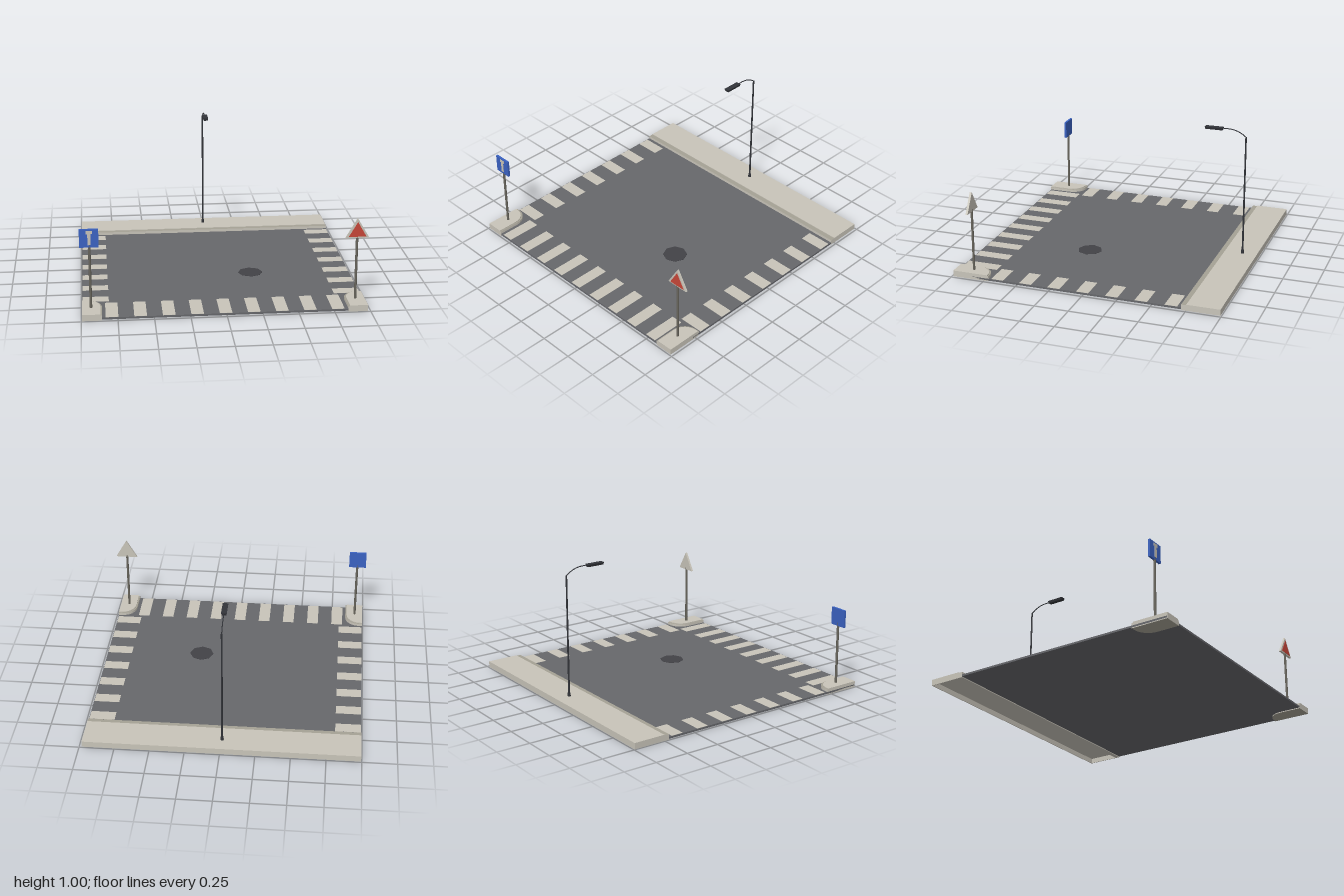
import * as THREE from 'three';

export function createModel() {
  const model = new THREE.Group();
  const mat = (name, color) => {
    const m = new THREE.MeshStandardMaterial({ color });
    m.name = name;
    return m;
  };
  const concrete = mat('concrete', 0xc8c4b9);
  const kerbGrey = mat('kerb grey', 0xa5a194);
  const asphalt = mat('asphalt', 0x66676b);
  const iron = mat('manhole iron', 0x424246);
  const lampMetal = mat('lamp metal', 0x323439);
  const poleMetal = mat('pole metal', 0x69665d);
  const blue = mat('sign blue', 0x3a62c2);
  const red = mat('sign red', 0xc64638);

  const add = (name, geometry, material, x = 0, y = 0, z = 0) => {
    const mesh = new THREE.Mesh(geometry, material);
    mesh.name = name;
    mesh.position.set(x, y, z);
    model.add(mesh);
    return mesh;
  };
  // box given by its limits on each axis
  const box = (name, material, x0, x1, y0, y1, z0, z1) =>
    add(name, new THREE.BoxGeometry(x1 - x0, y1 - y0, z1 - z0), material,
      (x0 + x1) / 2, (y0 + y1) / 2, (z0 + z1) / 2);

  const L = -0.995, R = 0.982, MID = (L + R) / 2;

  // road slab
  box('road', asphalt, L, R, 0.006, 0.02, -0.715, 0.987);

  // crossing stripes along the two sides and the front
  for (let i = 0; i < 7; i++) {
    const z = -0.687 + i * 0.2152;
    box('sideStripe', concrete, L + 0.003, -0.807, 0.018, 0.0215, z, z + 0.091);
    box('sideStripe', concrete, 0.794, R - 0.003, 0.018, 0.0215, z, z + 0.091);
  }
  for (let i = 0; i < 9; i++) {
    const x = -0.834 + i * 0.1958;
    box('frontStripe', concrete, x, x + 0.087, 0.018, 0.0215, 0.724, 0.983);
  }

  // manhole cover
  add('manholeCover', new THREE.CylinderGeometry(0.09, 0.09, 0.004, 8), iron, 0.25, 0.0205, 0.22);

  // pavement, hollow underneath, with a slightly lower kerb
  box('pavementTop', concrete, L, R, 0.037, 0.045, -0.992, -0.751);
  box('pavementBack', concrete, L, R, 0, 0.037, -0.992, -0.986);
  for (const x of [L, R - 0.006])
    box('pavementEnd', concrete, x, x + 0.006, 0, 0.037, -0.986, -0.751);
  const kerbSides = [concrete, concrete, kerbGrey, concrete, concrete, concrete];
  box('kerb', kerbSides, L, R, 0, 0.041, -0.751, -0.715);

  // rounded corner islands: a kerb step with the paving on top
  const island = (name, side, inset, y0, y1, materials) => {
    const outer = side < 0 ? L : R;
    const inner = outer - side * (0.137 - inset);
    const back = 0.716 + inset, front = 0.99, r = 0.11;
    const s = new THREE.Shape();
    s.moveTo(outer, -front);
    s.lineTo(inner, -front);
    s.lineTo(inner, -(back + r));
    s.bezierCurveTo(inner, -(back + r * 0.45), inner + side * r * 0.45, -back, inner + side * r, -back);
    s.lineTo(outer, -back);
    const g = new THREE.ExtrudeGeometry(s, { depth: y1 - y0, bevelEnabled: false, curveSegments: 6 });
    g.rotateX(-Math.PI / 2);
    add(name, g, materials, 0, y0, 0);
  };
  for (const side of [-1, 1]) {
    island('islandKerb', side, 0, 0, 0.039, [kerbGrey, concrete]);
    island('islandPaving', side, 0.01, 0.037, 0.045, concrete);
  }

  // street lamp: foot, post, curved arm and head
  const lx = MID - 0.003, lz = -0.884;
  add('lampFoot', new THREE.CylinderGeometry(0.011, 0.012, 0.025, 8), lampMetal, lx, 0.057, lz);
  add('lampPost', new THREE.CylinderGeometry(0.006, 0.007, 0.9, 8), lampMetal, lx, 0.495, lz);
  const arm = new THREE.CatmullRomCurve3([
    [0.943, lz], [0.967, -0.85], [0.986, -0.805], [0.993, -0.76], [0.993, -0.7],
  ].map(([y, z]) => new THREE.Vector3(lx, y, z)));
  add('lampArm', new THREE.TubeGeometry(arm, 12, 0.0035, 6), lampMetal);
  const headGeo = new THREE.BoxGeometry(0.04, 0.018, 0.134);
  const hp = headGeo.attributes.position;
  for (let i = 0; i < hp.count; i++) // narrower underside
    if (hp.getY(i) < 0) hp.setXYZ(i, hp.getX(i) * 0.75, hp.getY(i), hp.getZ(i) * 0.94);
  headGeo.computeVertexNormals();
  add('lampHead', headGeo, lampMetal, lx, 0.989, -0.647);

  // sign poles
  const sz = 0.857;
  for (const x of [-0.932, 0.915])
    add('signPole', new THREE.CylinderGeometry(0.009, 0.009, 0.47, 8), poleMetal, x, 0.275, sz);

  // square blue sign with a pale T
  box('squareSign', blue, -1, -0.868, 0.487, 0.617, sz - 0.008, sz + 0.008);
  box('signBar', concrete, -0.954, -0.91, 0.584, 0.607, sz + 0.007, sz + 0.011);
  box('signStem', concrete, -0.943, -0.921, 0.505, 0.584, sz + 0.007, sz + 0.011);

  // triangular warning sign with a red face
  const triangle = (name, material, half, y0, y1, z, depth) => {
    const s = new THREE.Shape([
      new THREE.Vector2(-half, y0), new THREE.Vector2(half, y0), new THREE.Vector2(0, y1),
    ]);
    add(name, new THREE.ExtrudeGeometry(s, { depth, bevelEnabled: false }), material, 0.917, 0, z);
  };
  triangle('triangleSign', concrete, 0.083, 0.495, 0.636, sz - 0.008, 0.016);
  triangle('triangleFace', red, 0.062, 0.505, 0.611, sz + 0.007, 0.004);

  return model;
}
